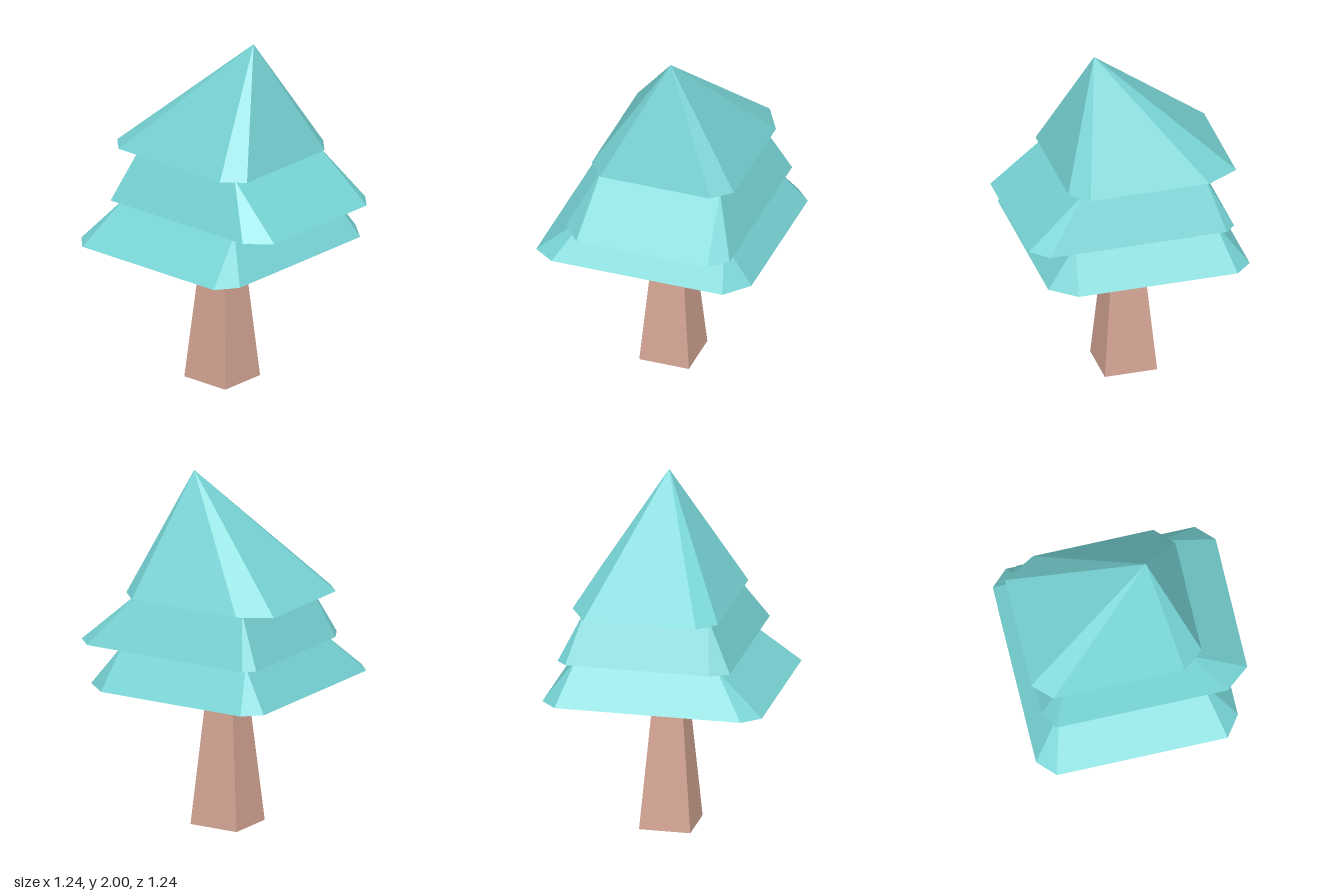
import * as THREE from 'three';

const foliageMaterial = new THREE.MeshStandardMaterial({ color: 0x76d2d3, flatShading: true });
const trunkMaterial = new THREE.MeshStandardMaterial({ color: 0xd4a594, flatShading: true });

// Closed faceted solid between two rings of [x, z] points, clockwise from above
function loft(name, material, y0, lower, y1, upper) {
  const positions = [];
  const low = lower.map(([x, z]) => new THREE.Vector3(x, y0, z));
  const high = upper.map(([x, z]) => new THREE.Vector3(x, y1, z));
  const tri = (a, b, c) => {
    if (new THREE.Triangle(a, b, c).getArea() < 1e-7) return;
    for (const p of [a, b, c]) positions.push(p.x, p.y, p.z);
  };
  const n = low.length;
  for (let i = 0; i < n; i++) {
    const j = (i + 1) % n;
    tri(low[j], low[i], high[i]);
    tri(low[j], high[i], high[j]);
    tri(low[0], low[i], low[j]);
    tri(high[0], high[j], high[i]);
  }
  const geometry = new THREE.BufferGeometry();
  geometry.setAttribute('position', new THREE.Float32BufferAttribute(positions, 3));
  geometry.computeVertexNormals();
  const mesh = new THREE.Mesh(geometry, material);
  mesh.name = name;
  return mesh;
}

// Four corners from back left, clockwise from above
const rect = (x0, x1, z0, z1) => [[x0, z0], [x1, z0], [x1, z1], [x0, z1]];

// Each corner doubled, so the bevelled corners below taper to a point
function pointedCorners(x0, x1, z0, z1) {
  const [a, b, c, d] = rect(x0, x1, z0, z1);
  return [a, b, b, c, c, d, d, a];
}

export function createModel() {
  const tree = new THREE.Group();
  tree.name = 'tree';

  // Tapered square trunk
  tree.add(loft('trunk', trunkMaterial,
    0, rect(-0.2, 0.1, -0.15, 0.14),
    0.83, rect(-0.125, 0.03, -0.08, 0.07)));

  // Foliage tiers: irregular bevelled rims
  tree.add(loft('lowerFoliage', foliageMaterial,
    0.827, [[-0.525, -0.62], [0.385, -0.62], [0.525, -0.5], [0.525, 0.5],
      [0.44, 0.62], [-0.525, 0.62], [-0.62, 0.52], [-0.62, -0.53]],
    1.055, pointedCorners(-0.45, 0.355, -0.45, 0.35)));

  tree.add(loft('middleFoliage', foliageMaterial,
    1.055, [[-0.485, -0.543], [0.525, -0.543], [0.62, -0.447], [0.62, 0.32],
      [0.485, 0.43], [-0.485, 0.43], [-0.543, 0.325], [-0.543, -0.487]],
    1.34, pointedCorners(-0.4, 0.3, -0.405, 0.287)));

  // Top tier rises to an off-centre tip
  tree.add(loft('topFoliage', foliageMaterial,
    1.34, [[-0.405, -0.477], [0.275, -0.477], [0.375, -0.375], [0.375, 0.27],
      [0.257, 0.362], [-0.485, 0.362], [-0.587, 0.26], [-0.587, -0.375]],
    2, Array(8).fill([0.135, -0.057])));

  return tree;
}
